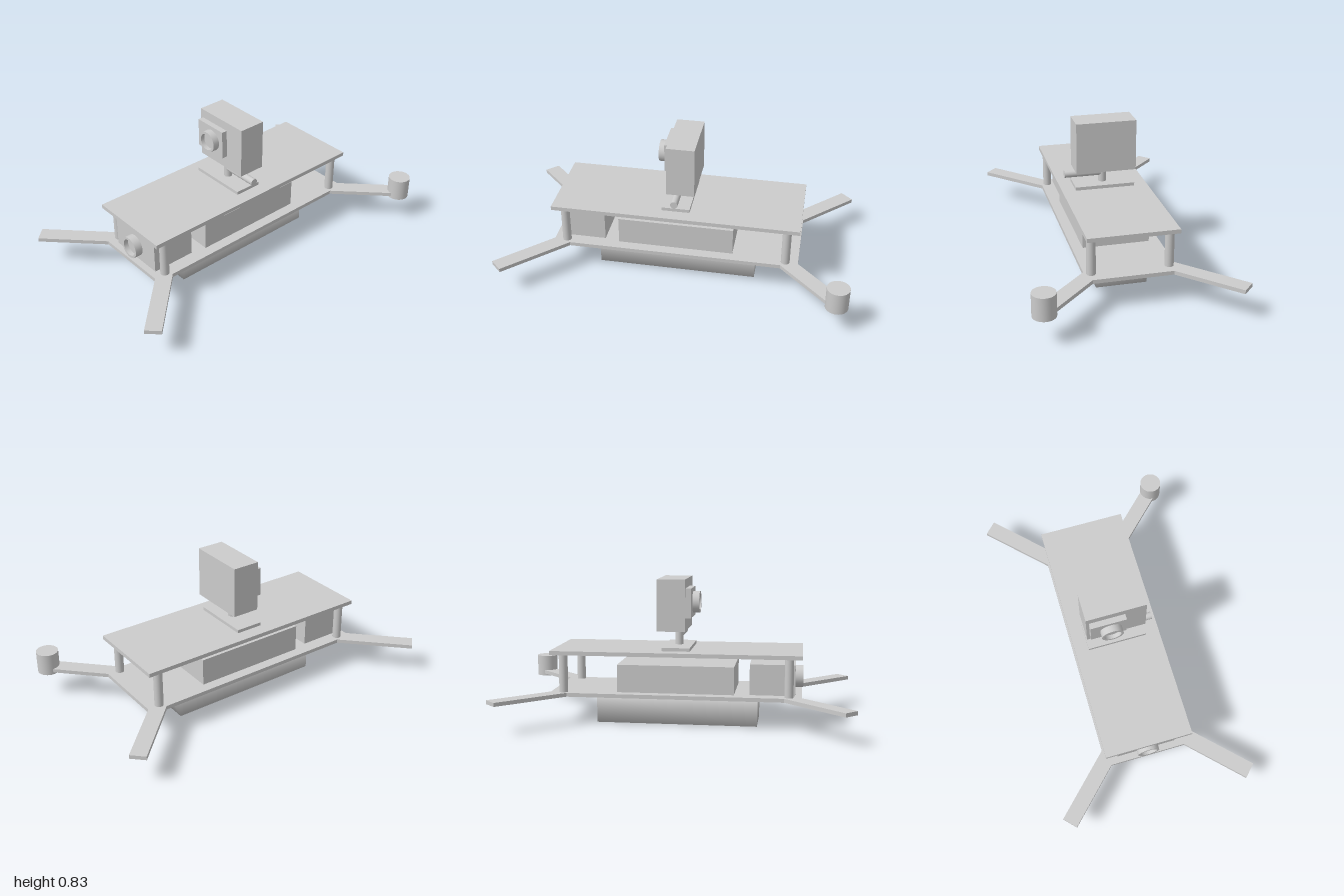
import * as THREE from 'three';
import { mergeVertices } from 'three/addons/utils/BufferGeometryUtils.js';

const grey = new THREE.MeshStandardMaterial({ color: 0xcccccc });

export function createModel() {
  const model = new THREE.Group();
  const frame = new THREE.Group(); // everything shares one slightly shifted centre
  frame.name = 'frame';
  frame.position.set(-0.005, 0, -0.005);
  model.add(frame);

  const add = (name, geometry, x = 0, y = 0, z = 0) => {
    const mesh = new THREE.Mesh(geometry, grey);
    mesh.name = name;
    mesh.position.set(x, y, z);
    frame.add(mesh);
    return mesh;
  };
  // Box given by its extents
  const box = (name, x0, x1, y0, y1, z0, z1) =>
    add(name, new THREE.BoxGeometry(x1 - x0, y1 - y0, z1 - z0),
      (x0 + x1) / 2, (y0 + y1) / 2, (z0 + z1) / 2);
  // Upright cylinder
  const post = (name, r, y0, y1, x, z) =>
    add(name, new THREE.CylinderGeometry(r, r, y1 - y0, 32), x, (y0 + y1) / 2, z);
  // Hollow lens barrel with a recessed glass, pointing to -x
  const lens = (name, r, length, x, y, z) => {
    const corners = [[r, 0], [r, length], [r * 0.78, length], [r * 0.78, length * 0.4], [0, length * 0.4]];
    const group = new THREE.Group();
    group.name = name;
    for (let i = 0; i < corners.length - 1; i++) {
      const profile = [corners[i], corners[i + 1]].map(c => new THREE.Vector2(...c));
      const part = new THREE.Mesh(new THREE.LatheGeometry(profile, 32), grey);
      part.name = ['barrel', 'rim', 'innerWall', 'glass'][i];
      group.add(part);
    }
    group.rotation.z = Math.PI / 2;
    group.position.set(x, y, z);
    frame.add(group);
  };

  // Lower plate with four diagonal arms in one outline
  const corner = [[0.71, 0.22], [0.995, 0.505], [0.93, 0.568], [0.613, 0.25]];
  const outline = [];
  [[1, 1], [-1, 1], [-1, -1], [1, -1]].forEach(([sx, sz], i) => {
    const points = i % 2 ? [...corner].reverse() : corner;
    points.forEach(([x, z]) => outline.push(new THREE.Vector2(x * sx, z * sz)));
  });
  const plate = new THREE.ExtrudeGeometry(new THREE.Shape(outline), { depth: 0.022, bevelEnabled: false });
  plate.rotateX(-Math.PI / 2);
  add('lowerPlateWithArms', plate, 0, 0.165, 0);

  // Upper plate and its standoffs
  box('upperPlate', -0.71, 0.71, 0.402, 0.425, -0.25, 0.25);
  for (const sx of [-1, 1])
    for (const sz of [-1, 1]) post('standoff', 0.025, 0.187, 0.402, sx * 0.638, sz * 0.213);

  // Belly battery: four-sided prism with softened shading
  let prism = new THREE.CylinderGeometry(Math.SQRT1_2, Math.SQRT1_2, 1, 4, 1, false, Math.PI / 4);
  prism.rotateZ(Math.PI / 2);
  prism.scale(0.92, 0.165, 0.29);
  prism.deleteAttribute('uv');
  prism.deleteAttribute('normal');
  prism = mergeVertices(prism);
  prism.computeVertexNormals();
  add('bellyBattery', prism, 0, 0.0825, 0);

  // Electronics between the plates
  box('electronicsBox', -0.332, 0.333, 0.187, 0.345, -0.19, 0.19);
  box('noseCameraBody', -0.672, -0.418, 0.187, 0.361, -0.172, 0.172);
  lens('noseCameraLens', 0.063, 0.045, -0.671, 0.272, 0);

  // Motor on one arm only
  post('motor', 0.063, 0.152, 0.28, 0.94, 0.515);

  // Camera mount
  box('mountPad', -0.08, 0.08, 0.425, 0.444, -0.172, 0.172);
  post('mountPost', 0.023, 0.444, 0.537, 0, 0);
  add('mountHandle', new THREE.CylinderGeometry(0.021, 0.021, 0.22, 32), 0, 0.5, 0.113).rotation.x = Math.PI / 2;

  // Top camera
  box('topCameraBody', -0.053, 0.106, 0.536, 0.829, -0.172, 0.172);
  box('topCameraLensPlate', -0.086, -0.053, 0.612, 0.778, -0.155, 0.05);
  lens('topCameraLens', 0.062, 0.04, -0.085, 0.694, -0.04);

  return model;
}
